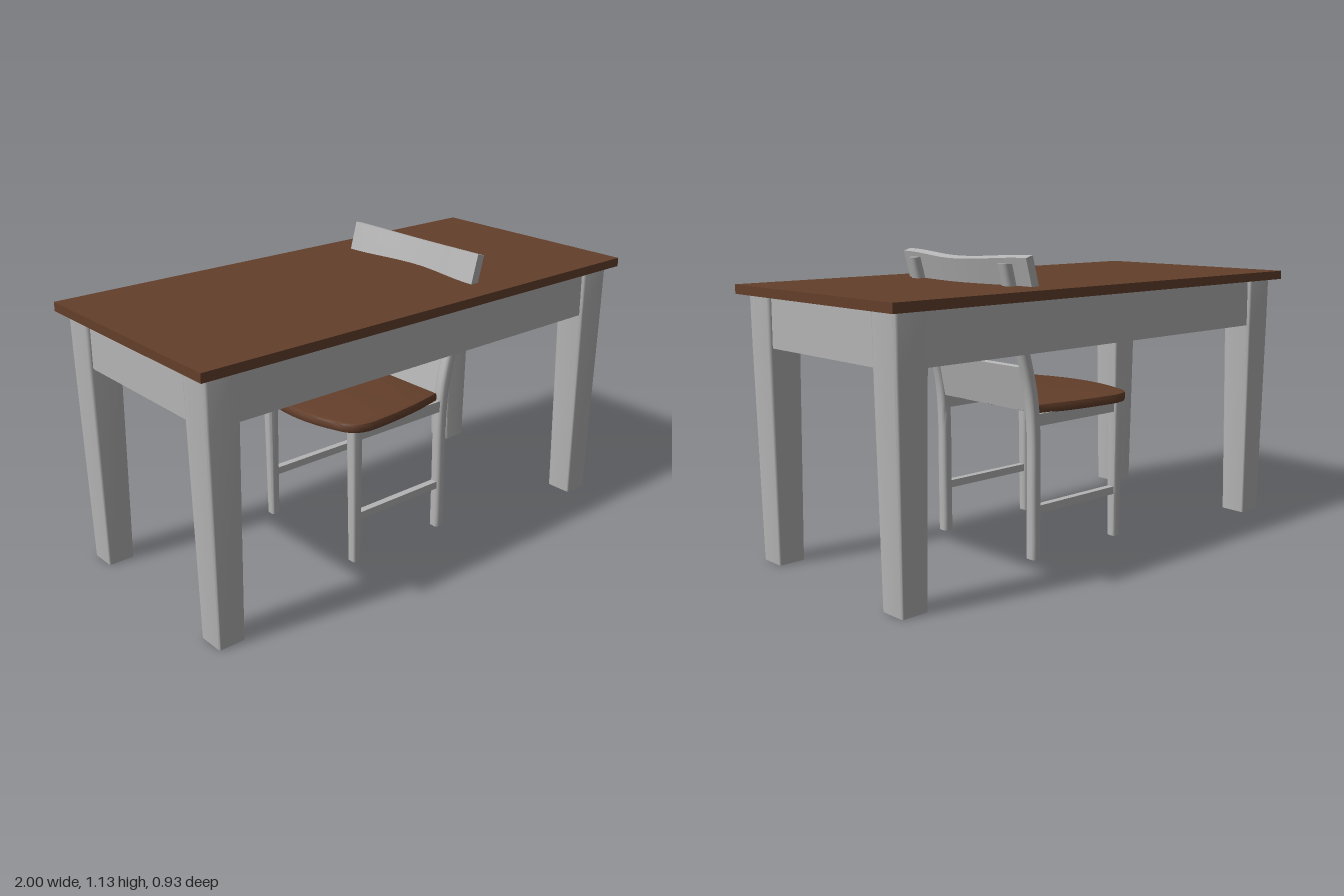
import * as THREE from 'three';
import { toCreasedNormals } from 'three/addons/utils/BufferGeometryUtils.js';

// Rounded-rectangle ring at height y, counter-clockwise seen from above
function ring(cx, y, cz, hw, hd, r) {
  const pts = [];
  [[1, -1, 0], [-1, -1, 1], [-1, 1, 2], [1, 1, 3]].forEach(([sx, sz, q]) => {
    for (let i = 0; i <= 2; i++) {
      const a = (q + i / 2) * Math.PI / 2;
      pts.push([cx + sx * (hw - r) + r * Math.cos(a), y, cz + sz * (hd - r) - r * Math.sin(a)]);
    }
  });
  return pts;
}

// Skin a stack of rings from bottom to top and cap both ends
function loft(rings) {
  const pos = [], n = rings[0].length, last = rings[rings.length - 1];
  const tri = (a, b, c) => pos.push(...a, ...b, ...c);
  for (let k = 0; k < rings.length - 1; k++) {
    for (let i = 0; i < n; i++) {
      const j = (i + 1) % n, lo = rings[k], hi = rings[k + 1];
      tri(lo[i], lo[j], hi[j]);
      tri(lo[i], hi[j], hi[i]);
    }
  }
  for (let i = 1; i < n - 1; i++) {
    tri(rings[0][0], rings[0][i + 1], rings[0][i]);
    tri(last[0], last[i], last[i + 1]);
  }
  const g = new THREE.BufferGeometry();
  g.setAttribute('position', new THREE.Float32BufferAttribute(pos, 3));
  return toCreasedNormals(g, 0.9);
}

export function createModel() {
  const wood = new THREE.MeshStandardMaterial({ color: 0x643f2b });
  wood.name = 'brown wood';
  const paint = new THREE.MeshStandardMaterial({ color: 0xb4b4b4 });
  paint.name = 'grey paint';

  const model = new THREE.Group();
  const table = new THREE.Group();
  table.name = 'table';
  const chair = new THREE.Group();
  chair.name = 'chair';
  model.add(table, chair);

  const add = (parent, name, geo, mat) => {
    const m = new THREE.Mesh(geo, mat);
    m.name = name;
    parent.add(m);
    return m;
  };
  const box = (parent, name, mat, w, h, d, x, y, z) =>
    add(parent, name, new THREE.BoxGeometry(w, h, d).translate(x, y, z), mat);

  // Table top
  box(table, 'tableTop', wood, 2, 0.034, 0.934, 0, 1.003, 0);

  // Tapered table legs and aprons
  for (const s of [-1, 1]) {
    for (const t of [-1, 1]) {
      add(table, 'tableLeg', loft([
        ring(s * 0.901, 0, t * 0.368, 0.052, 0.053, 0.006),
        ring(s * 0.901, 0.8, t * 0.368, 0.064, 0.063, 0.01),
        ring(s * 0.901, 0.987, t * 0.368, 0.066, 0.065, 0.012),
      ]), paint);
    }
    box(table, 'longApron', paint, 1.7, 0.186, 0.07, 0, 0.894, s * 0.385);
    box(table, 'shortApron', paint, 0.07, 0.186, 0.64, s * 0.918, 0.894, 0);
  }

  // Seat: wider, bowed front edge toward -x, rounded corners
  const sh = new THREE.Shape();
  sh.moveTo(0.19, -0.25);
  sh.lineTo(0.19, 0.25);
  sh.quadraticCurveTo(0, 0.295, -0.17, 0.3);
  sh.quadraticCurveTo(-0.25, 0.3, -0.27, 0.22);
  sh.quadraticCurveTo(-0.35, 0, -0.27, -0.22);
  sh.quadraticCurveTo(-0.25, -0.3, -0.17, -0.3);
  sh.quadraticCurveTo(0, -0.295, 0.19, -0.25);
  const seat = new THREE.ExtrudeGeometry(sh, {
    depth: 0.018, bevelEnabled: true, bevelThickness: 0.01, bevelSize: 0.01,
    bevelSegments: 2, curveSegments: 12,
  });
  seat.rotateX(-Math.PI / 2).translate(0, 0.553, 0);
  add(chair, 'seat', toCreasedNormals(seat, 0.6), wood);

  // Curved line followed by the back posts
  const postLine = new THREE.CatmullRomCurve3([
    [0.22, 0], [0.221, 0.25], [0.222, 0.48], [0.235, 0.62], [0.28, 0.8], [0.32, 0.95], [0.36, 1.1],
  ].map(([x, y]) => new THREE.Vector3(x, y, 0)));

  for (const t of [-1, 1]) {
    const z = t * 0.257;
    // Front leg
    add(chair, 'frontLeg', loft([
      ring(-0.218, 0, z, 0.018, 0.019, 0.008),
      ring(-0.218, 0.55, z, 0.023, 0.023, 0.01),
    ]), paint);
    // Back leg rising into the backrest post
    const rings = [];
    for (let i = 0; i <= 24; i++) {
      const p = postLine.getPoint(i / 24);
      rings.push(ring(p.x, p.y, z, 0.021, 0.023, 0.013));
    }
    add(chair, 'backPost', loft(rings), paint);
    // Side rails
    box(chair, 'seatRail', paint, 0.42, 0.045, 0.03, 0, 0.525, z);
    box(chair, 'stretcher', paint, 0.42, 0.03, 0.028, 0, 0.187, z);
  }

  // Lower back panel between the posts
  const panel = box(chair, 'backPanel', paint, 0.02, 0.168, 0.48, 0, 0, 0);
  panel.position.set(0.24, 0.64, 0);
  panel.rotation.z = -0.19;

  // Top rail: bowed back in the middle, tilted, with a dipped top edge
  const rail = new THREE.BoxGeometry(0.032, 1, 0.69, 1, 4, 32);
  const p = rail.attributes.position;
  for (let i = 0; i < p.count; i++) {
    const z = p.getZ(i), c = (1 + Math.cos(Math.PI * z / 0.345)) / 2;
    const top = 1.125 - 0.014 * c, bottom = 0.875 + 0.03 * c;
    const y = bottom + (top - bottom) * (p.getY(i) + 0.5);
    const x = 0.325 + 0.038 * c + (y - 1.125) * 0.28;
    // keep the top and bottom edges square to the tilt
    p.setXYZ(i, x + p.getX(i), y - p.getX(i) * 0.28, z);
  }
  rail.computeVertexNormals();
  add(chair, 'topRail', rail, paint);

  return model;
}
